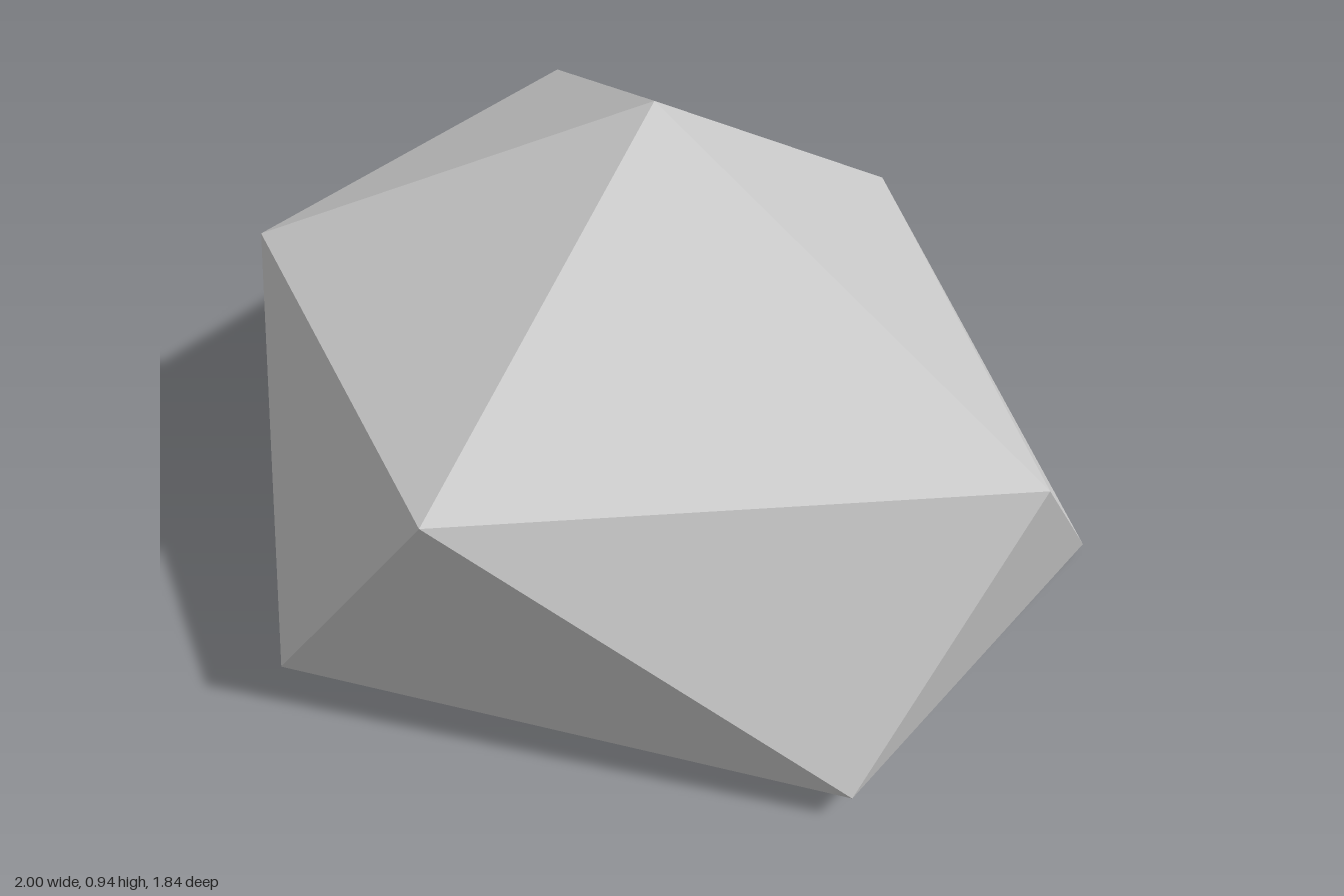
import * as THREE from 'three';

// Faceted boulder: a peak, a staggered upper and lower ring, and a low underside point.
export function createModel() {
  const stone = new THREE.MeshStandardMaterial({ color: 0xc8c8c8, flatShading: true });
  stone.name = 'stoneGrey';

  const peak = [-0.02, 0.94, -0.075];
  const upper = [
    [1.0, 0.59, 0.045], [0.275, 0.655, 0.885], [-0.64, 0.62, 0.45],
    [-0.68, 0.58, -0.5], [0.115, 0.5, -0.72],
  ];
  const lower = [
    [0.91, 0.07, 0.46], [-0.13, 0.065, 0.92], [-1.0, 0.045, 0.0],
    [-0.3, 0.13, -0.92], [0.87, 0.03, -0.44],
  ];
  const base = [0.05, 0, 0];

  // Each step round the rings adds a cap, two side facets and an underside facet
  const positions = [];
  const facet = (...corners) => positions.push(...corners.flat());
  for (let i = 0; i < 5; i++) {
    const j = (i + 1) % 5;
    facet(peak, upper[j], upper[i]);
    facet(upper[i], upper[j], lower[i]);
    facet(lower[i], upper[j], lower[j]);
    facet(base, lower[i], lower[j]);
  }

  const geometry = new THREE.BufferGeometry();
  geometry.setAttribute('position', new THREE.Float32BufferAttribute(positions, 3));
  geometry.computeVertexNormals();

  const boulder = new THREE.Mesh(geometry, stone);
  boulder.name = 'boulder';
  const group = new THREE.Group();
  group.name = 'rock';
  group.add(boulder);
  return group;
}
